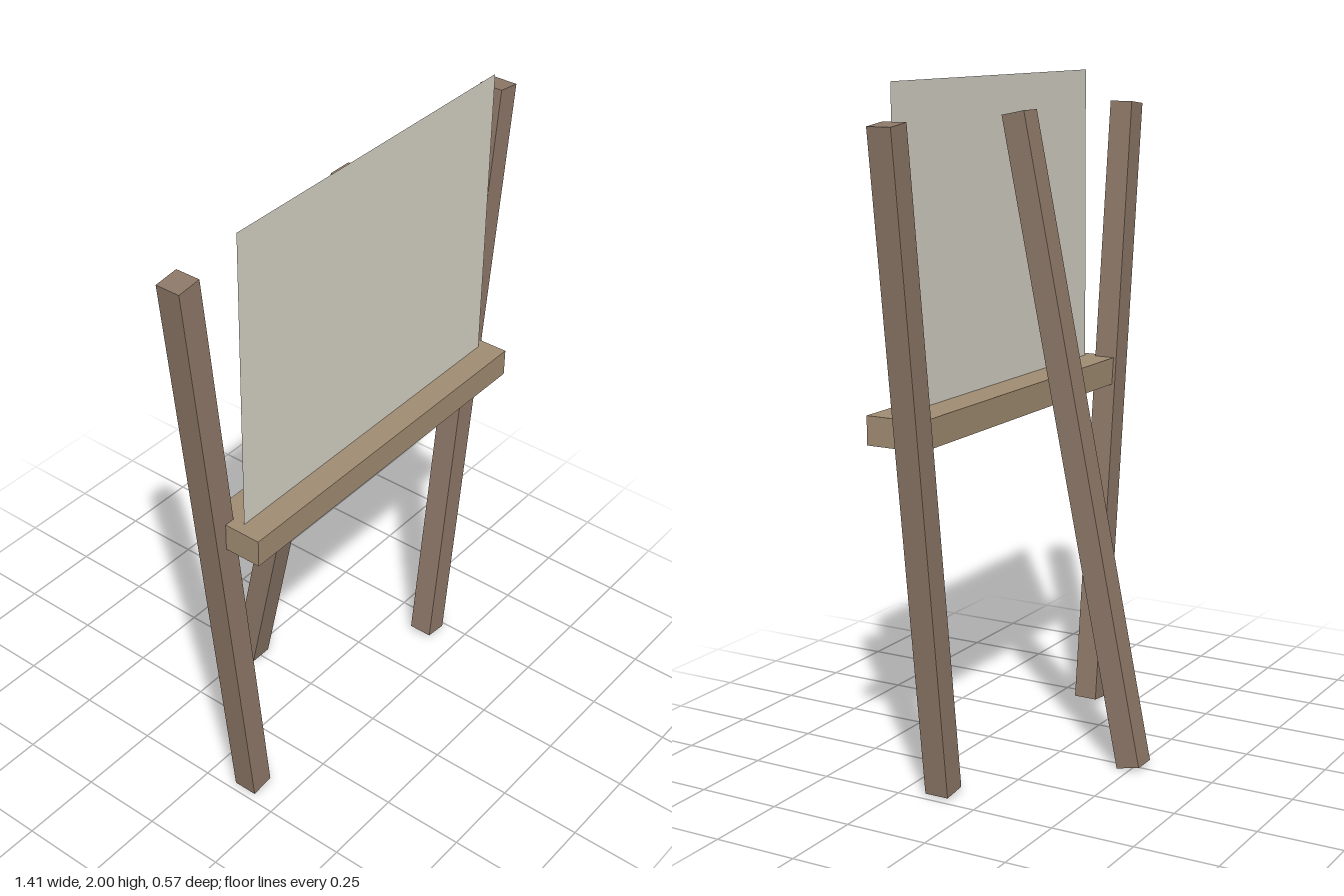
import * as THREE from 'three';

const legWood = new THREE.MeshStandardMaterial({ color: 0x8d7868 });
const ledgeWood = new THREE.MeshStandardMaterial({ color: 0xa08c72 });
const cloth = new THREE.MeshStandardMaterial({ color: 0xd4d0c4, side: THREE.DoubleSide });

const THICK = 0.074;

// Square bar running between the centres of its two end faces
function bar(name, bottom, top) {
  const a = new THREE.Vector3(...bottom);
  const b = new THREE.Vector3(...top);
  const dir = b.clone().sub(a);
  const mesh = new THREE.Mesh(new THREE.BoxGeometry(THICK, dir.length(), THICK), legWood);
  mesh.name = name;
  mesh.position.copy(a).add(b).multiplyScalar(0.5);
  mesh.quaternion.setFromUnitVectors(new THREE.Vector3(0, 1, 0), dir.normalize());
  return mesh;
}

export function createModel() {
  const easel = new THREE.Group();
  easel.name = 'easel';

  // Two front legs, splayed outwards towards the top
  for (const [side, s] of [['left', 1], ['right', -1]]) {
    easel.add(bar(`${side}FrontLeg`, [s * 0.444, 0.012, 0.134], [s * 0.67, 1.898, 0.134]));
  }

  // Rear leg leaning forward
  easel.add(bar('rearLeg', [0, 0.008, -0.246], [0, 1.898, 0.133]));

  // Ledge across the front legs
  const ledge = new THREE.Mesh(new THREE.BoxGeometry(1.14, 0.083, 0.177), ledgeWood);
  ledge.name = 'ledge';
  ledge.position.set(0, 1.067, 0.195);
  easel.add(ledge);

  // Thin canvas standing on the ledge
  const canvas = new THREE.Mesh(new THREE.PlaneGeometry(1.076, 0.892), cloth);
  canvas.name = 'canvas';
  canvas.position.set(0, 1.554, 0.208);
  easel.add(canvas);

  return easel;
}
